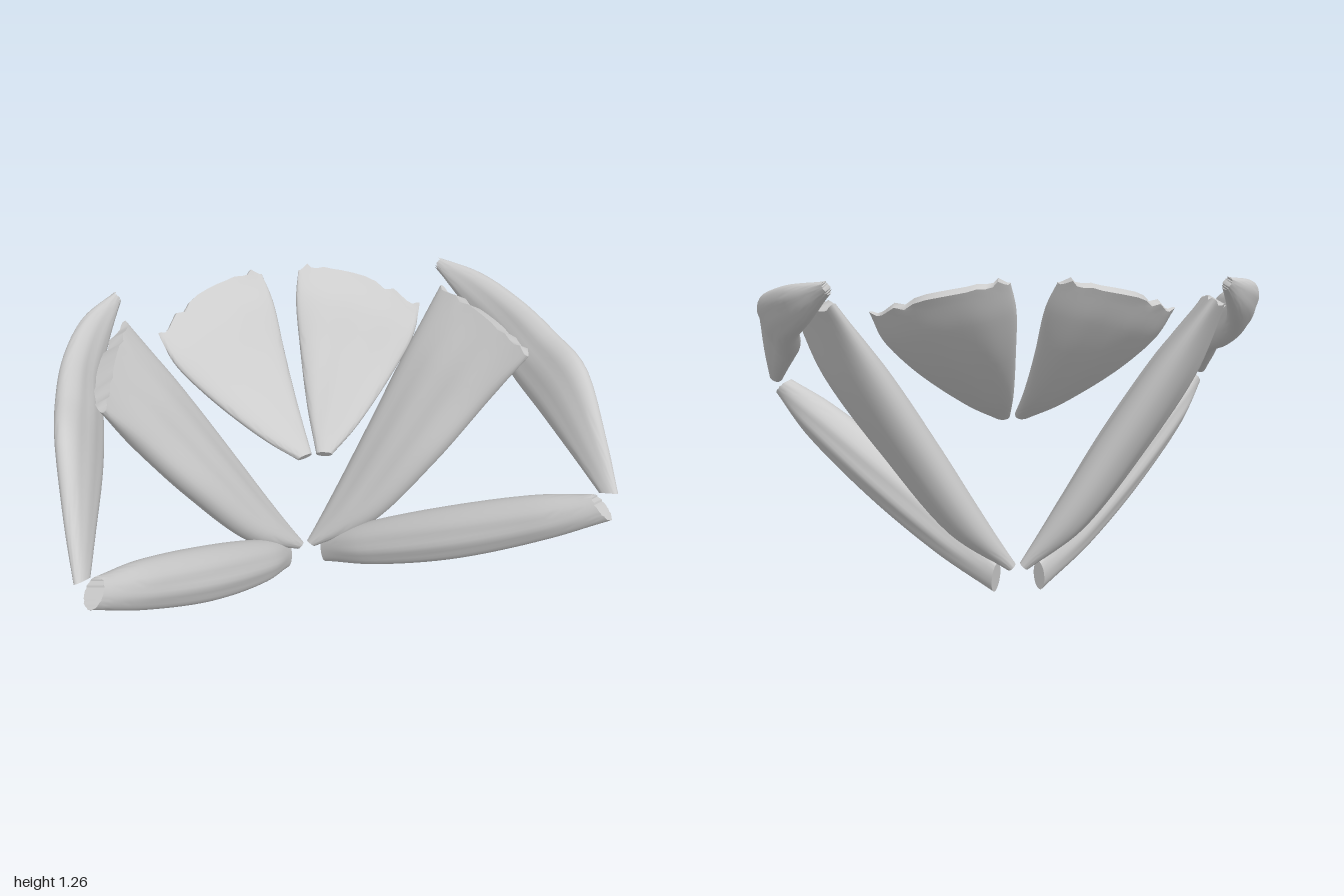
import * as THREE from 'three';
import { toCreasedNormals } from 'three/addons/utils/BufferGeometryUtils.js';

const grey = new THREE.MeshStandardMaterial({ color: 0xcccccc });
grey.name = 'light grey';

const V = (a) => new THREE.Vector3(...a);

// Each row holds one edge point, the opposite edge point and the thickness between the faces.
// bow arches the middle of the sheet, ragged frays the far end.
const parts = {
  lowerStrand: {
    power: 1, bow: [0, 0, 0], ragged: 0.002,
    rows: [
      [[0.08, 0.13, -0.23], [0.09, 0.005, -0.21], 0.05],
      [[0.21, 0.27, -0.09], [0.27, 0.10, -0.03], 0.16],
      [[0.47, 0.48, 0.16], [0.53, 0.27, 0.22], 0.19],
      [[0.75, 0.66, 0.41], [0.81, 0.50, 0.47], 0.15],
      [[0.91, 0.73, 0.54], [0.95, 0.665, 0.63], 0.08],
    ],
  },
  innerFan: {
    power: 0.9, bow: [0.03, 0, 0], ragged: 0.006,
    rows: [
      [[0.03, 0.11, -0.20], [0.02, 0.11, -0.24], 0.04],
      [[0.24, 0.28, -0.08], [0.16, 0.30, -0.30], 0.14],
      [[0.48, 0.60, 0.00], [0.34, 0.60, -0.36], 0.18],
      [[0.69, 0.90, 0.04], [0.51, 0.90, -0.42], 0.17],
      [[0.81, 1.10, 0.10], [0.66, 1.16, -0.47], 0.08],
    ],
  },
  outerStrap: {
    power: 0.85, bow: [0, 0, 0], ragged: 0.006,
    rows: [
      [[0.985, 0.75, 0.59], [0.94, 0.73, 0.54], 0.04],
      [[0.98, 0.90, 0.46], [0.91, 0.79, 0.40], 0.07],
      [[0.965, 1.11, 0.25], [0.86, 0.88, 0.18], 0.10],
      [[0.945, 1.15, 0.03], [0.83, 0.94, -0.05], 0.11],
      [[0.90, 1.19, -0.20], [0.82, 1.01, -0.22], 0.10],
      [[0.81, 1.23, -0.42], [0.75, 1.10, -0.42], 0.08],
      [[0.69, 1.25, -0.56], [0.67, 1.21, -0.55], 0.03],
    ],
  },
  centreFan: {
    power: 0.85, bow: [0, 0.02, -0.09], ragged: 0.01,
    rows: [
      [[0.01, 0.68, -0.07], [0.07, 0.68, -0.05], 0.04],
      [[0.02, 0.80, -0.25], [0.20, 0.76, -0.12], 0.08],
      [[0.035, 0.98, -0.42], [0.39, 0.91, -0.25], 0.10],
      [[0.05, 1.15, -0.54], [0.50, 1.03, -0.33], 0.09],
      [[0.08, 1.25, -0.61], [0.54, 1.12, -0.39], 0.03],
    ],
  },
};

// Skins a flattened, rounded cross-section between the two edge curves.
function strandGeometry({ rows, power, bow, ragged }, side) {
  const N = 28, M = 40;
  const edgeA = new THREE.CatmullRomCurve3(rows.map((r) => V(r[0])));
  const edgeB = new THREE.CatmullRomCurve3(rows.map((r) => V(r[1])));
  const depth = new THREE.CatmullRomCurve3(rows.map((r, i) => V([i, r[2], 0])));
  const middle = (t) => edgeA.getPoint(t).add(edgeB.getPoint(t)).multiplyScalar(0.5);
  const soft = (x) => Math.sign(x) * Math.abs(x) ** power;
  const pos = [], index = [];
  const push = (p) => pos.push(p.x * side, p.y, p.z);
  const face = (a, b, c) => (side > 0 ? index.push(a, b, c) : index.push(a, c, b));

  for (let i = 0; i <= N; i++) {
    const t = i / N;
    const mid = middle(t);
    const along = middle(Math.min(1, t + 0.02)).sub(middle(Math.max(0, t - 0.02))).normalize();
    const half = edgeA.getPoint(t).sub(edgeB.getPoint(t)).multiplyScalar(0.5);
    const normal = along.clone().cross(half).normalize();
    const thick = depth.getPoint(t).y / 2;
    for (let j = 0; j < M; j++) {
      const a = (j / M) * Math.PI * 2;
      const c = soft(Math.cos(a)), s = soft(Math.sin(a));
      const ripple = 1 + 0.04 * Math.sin(c * 9 + t * 4) * Math.sin(Math.PI * t);
      const p = mid.clone()
        .addScaledVector(half, c)
        .addScaledVector(normal, s * thick * ripple)
        .addScaledVector(V(bow), t * (1 - c * c));
      if (i === N) p.addScaledVector(along, ragged * (Math.sin(c * 17) + 0.5 * Math.sin(c * 31 + 1)));
      push(p);
    }
  }
  for (let i = 0; i < N; i++) {
    for (let j = 0; j < M; j++) {
      const k = (j + 1) % M;
      const a = i * M + j, b = i * M + k;
      face(a, b, a + M);
      face(b, b + M, a + M);
    }
  }
  // End caps bridge the two faces so they follow the bowed edge
  for (const [base, end] of [[0, false], [N * M, true]]) {
    for (let j = 0; j < M / 2; j++) {
      const a = base + j, b = base + j + 1;
      const c = base + ((M - j) % M), d = base + M - j - 1;
      if (end) { face(a, b, d); face(a, d, c); }
      else { face(a, d, b); face(a, c, d); }
    }
  }
  const geo = new THREE.BufferGeometry();
  geo.setAttribute('position', new THREE.Float32BufferAttribute(pos, 3));
  geo.setIndex(index);
  return toCreasedNormals(geo, 0.9);
}

export function createModel() {
  const model = new THREE.Group();
  model.name = 'strandSet';
  for (const [name, part] of Object.entries(parts)) {
    for (const side of [1, -1]) {
      const mesh = new THREE.Mesh(strandGeometry(part, side), grey);
      mesh.name = name + (side > 0 ? 'Left' : 'Right');
      model.add(mesh);
    }
  }
  return model;
}
